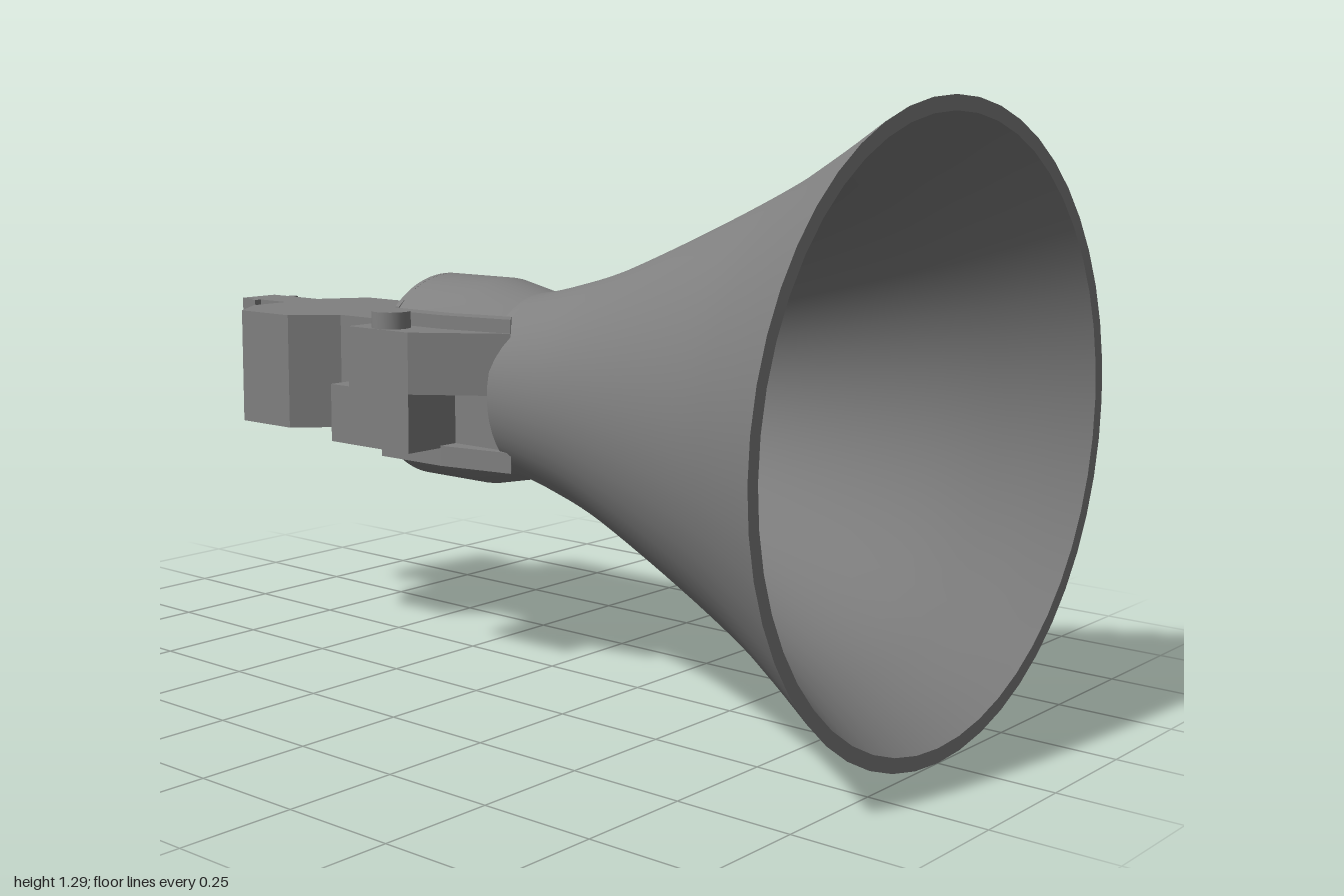
import * as THREE from 'three';
import { toCreasedNormals } from 'three/addons/utils/BufferGeometryUtils.js';

const AXIS = 0.643; // height of the horn's axis
const SEG = 48;

export function createModel() {
  const root = new THREE.Group();
  root.name = 'hornAssembly';
  const grey = new THREE.MeshStandardMaterial({ color: 0x808080 });
  grey.name = 'grey';

  const add = (name, geometry, parent = root) => {
    const mesh = new THREE.Mesh(geometry, grey);
    mesh.name = name;
    parent.add(mesh);
    return mesh;
  };
  const group = (name) => {
    const g = new THREE.Group();
    g.name = name;
    root.add(g);
    return g;
  };

  // Plan outline of [x, z] points, extruded from height y0 to y1
  const plan = (points, y0, y1) => {
    const shape = new THREE.Shape(points.map(([x, z]) => new THREE.Vector2(x, -z)));
    return new THREE.ExtrudeGeometry(shape, { depth: y1 - y0, bevelEnabled: false })
      .rotateX(-Math.PI / 2).translate(0, y0, 0);
  };

  // Profile of [x, radius] points, turned around the horn's axis
  const turn = (points) =>
    new THREE.LatheGeometry(points.map(([x, r]) => new THREE.Vector2(r, x)), SEG)
      .rotateZ(-Math.PI / 2).translate(0, AXIS, 0);
  const smooth = (points, n) =>
    new THREE.SplineCurve(points.map(([x, r]) => new THREE.Vector2(x, r)))
      .getPoints(n).map((p) => [p.x, p.y]);

  // Flared bell: outer skin, flat lip, inner skin, back shoulder
  const bell = group('bell');
  const outer = [[0, 0.212], [0.1, 0.235], [0.25, 0.28], [0.5, 0.382], [0.73, 0.487], [0.88, 0.57], [1, 0.643]];
  const inner = [[1, 0.613], [0.88, 0.542], [0.73, 0.46], [0.5, 0.355], [0.25, 0.25], [0.1, 0.198], [0, 0.162]];
  add('bellOuter', turn(smooth(outer, 28)), bell);
  add('bellLip', turn([[1, 0.643], [1, 0.613]]), bell);
  add('bellInner', turn(smooth(inner, 28)), bell);
  add('bellShoulder', turn([[0, 0.16], [0, 0.212]]), bell);

  // Collar behind the bell, with both sides cut flat
  const collar = group('collar');
  const FLAT = 0.163;
  const skin = turn([[-0.33, 0.235], [-0.14, 0.235], [-0.02, 0.21], [0, 0.212]]);
  const pos = skin.attributes.position;
  for (let i = 0; i < pos.count; i++) {
    pos.setZ(i, THREE.MathUtils.clamp(pos.getZ(i), -FLAT, FLAT));
  }
  add('collarSkin', toCreasedNormals(skin, 0.3), collar);
  add('throat', turn([[0, 0.162], [-0.33, 0.162]]), collar);

  // Collar end plate, with an opening for the feed body
  const a = Math.acos(FLAT / 0.235);
  const plate = new THREE.Shape();
  plate.absarc(0, 0, 0.235, a, Math.PI - a, false);
  plate.absarc(0, 0, 0.235, Math.PI + a, 2 * Math.PI - a, false);
  const opening = new THREE.Path();
  opening.moveTo(-0.159, -0.128).lineTo(-0.159, 0.137).lineTo(0.159, 0.137).lineTo(0.159, -0.128);
  plate.holes.push(opening);
  add('collarEndPlate', new THREE.ExtrudeGeometry(plate, { depth: 0.012, bevelEnabled: false, curveSegments: 20 })
    .rotateY(Math.PI / 2).translate(-0.33, AXIS, 0), collar);

  // Feed body: solid layers with three split channels between them
  const feed = group('feedBody');
  const END = -0.318;
  const front = [[-1, 0.052], [-0.835, 0.052], [-0.835, 0.155], [-0.765, 0.25], [-0.6, 0.25], [-0.515, 0.162], [END, 0.162]];
  const back = [[END, -0.162], [-0.765, -0.162], [-0.835, -0.052], [-1, -0.052]];
  const frontInside = [[END, 0.142], [-0.7, 0.142], [-0.8, 0.03], [-1, 0.025]];
  const backInside = [[-1, -0.025], [-0.82, -0.03], [-0.75, -0.142], [END, -0.142]];
  const divider = [[END, 0.006], [-0.78, 0.006], [-0.78, -0.008], [END, -0.008]];
  for (const [y0, y1] of [[0.515, 0.53], [0.605, 0.619], [0.688, 0.7], [0.76, 0.78]]) {
    add('feedLayer', plan([...front, ...back], y0, y1), feed);
  }
  for (const [y0, y1] of [[0.53, 0.605], [0.619, 0.688], [0.7, 0.76]]) {
    add('channelFrontWall', plan([...front, ...frontInside], y0, y1), feed);
    add('channelBackWall', plan([...back, ...backInside], y0, y1), feed);
    add('channelDivider', plan(divider, y0, y1), feed);
  }

  // Raised ridge on each side of the narrow feed end
  for (const s of [1, -1]) {
    add('feedRidge', new THREE.BoxGeometry(0.02, 0.265, 0.022).translate(-0.94, 0.6475, s * 0.06), feed);
  }

  // Side clamps, mirrored front and back
  const block = [[-0.39, 0.16], [-0.39, 0.308], [-0.143, 0.308], [-0.143, 0.16]];
  const jaw = [[-0.33, 0.16], [-0.33, 0.308], [-0.143, 0.308], [0.038, 0.178], [0, 0.165]];
  const rail = [[-0.33, 0.163], [-0.33, 0.21], [-0.143, 0.21], [0.038, 0.177], [0, 0.132], [-0.18, 0.163]];
  for (const s of [1, -1]) {
    const clamp = group(s > 0 ? 'frontClamp' : 'backClamp');
    const side = (points) => points.map(([x, z]) => [x, z * s]);
    add('clampBlock', plan(side(block), 0.515, 0.645), clamp);
    add('clampJaw', plan(side(jaw), 0.645, 0.78), clamp);
    add('upperRail', plan(side(rail), 0.77, 0.81), clamp);
    add('lowerRail', plan(side(rail), 0.475, 0.52), clamp);
    add('clampScrew', new THREE.CylinderGeometry(0.043, 0.043, 0.05, 24)
      .translate(-0.24, 0.792, s * 0.263), clamp);
  }

  return root;
}
